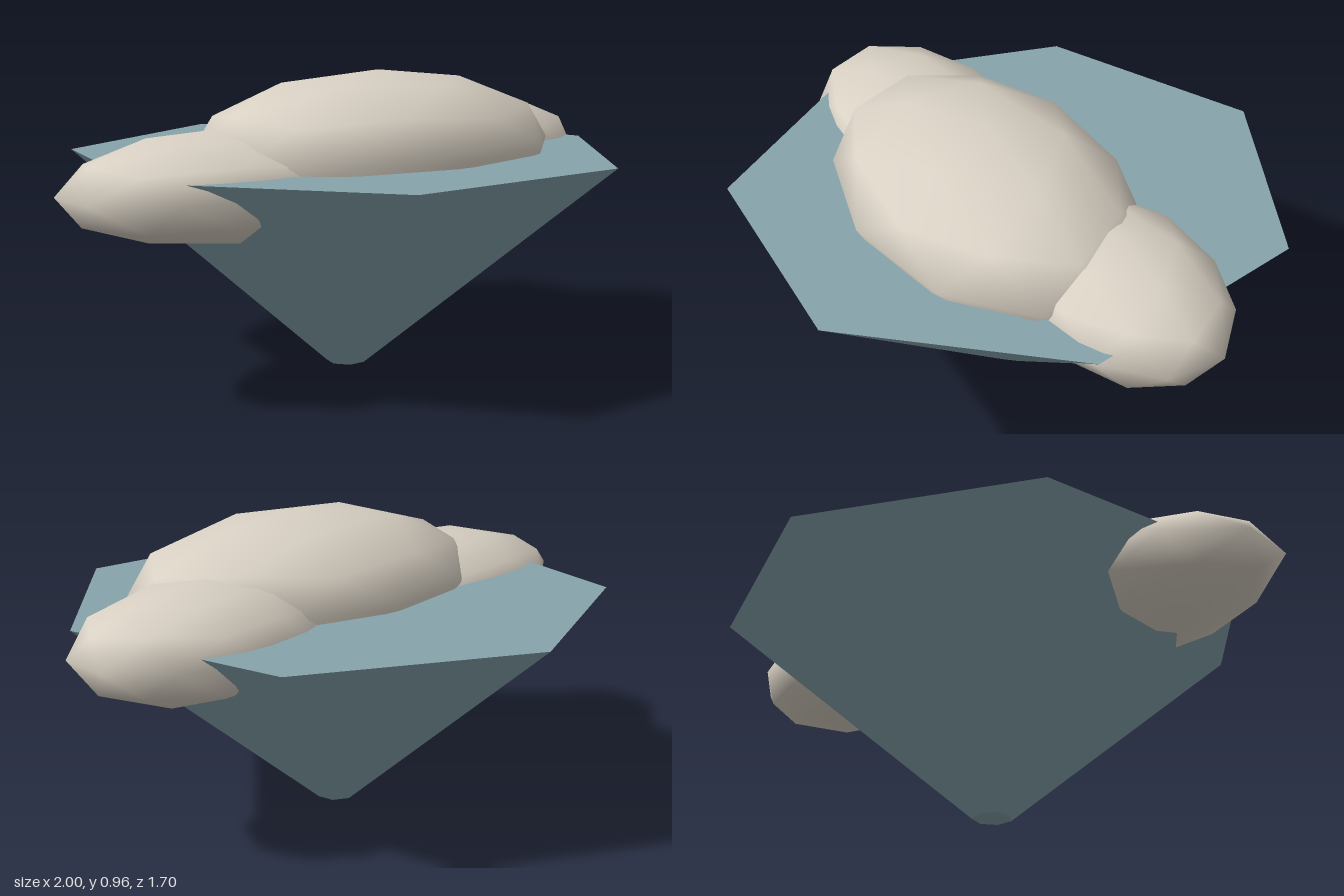
import * as THREE from 'three';

export function createModel() {
  const model = new THREE.Group();
  const slate = new THREE.MeshStandardMaterial({ color: 0x86a3ab });
  slate.name = 'slateBlue';
  const cream = new THREE.MeshStandardMaterial({ color: 0xd8d0c3 });
  cream.name = 'cream';

  // Seven-sided tapering base with flat faces
  const baseGeometry = new THREE.CylinderGeometry(0.892, 0.065, 0.7, 7, 1, false, Math.PI).toNonIndexed();
  baseGeometry.computeVertexNormals();
  const base = new THREE.Mesh(baseGeometry, slate);
  base.name = 'taperedBase';
  base.position.set(0.02, 0.35, 0.042);
  model.add(base);

  // Low-poly smooth ball, turned so that one corner points straight up
  const ball = new THREE.IcosahedronGeometry(1, 1);
  ball.rotateZ(-Math.atan(2 / (1 + Math.sqrt(5))));

  const addPuff = (name, position, radii) => {
    const puff = new THREE.Mesh(ball, cream);
    puff.name = name;
    puff.position.set(...position);
    puff.scale.set(...radii);
    model.add(puff);
  };

  // Stretched puffs resting in the base
  addPuff('middlePuff', [0.055, 0.721, 0.157], [0.655, 0.244, 0.428]);
  addPuff('rightPuff', [-0.46, 0.646, 0.115], [0.568, 0.17, 0.325]);
  addPuff('leftPuff', [0.59, 0.667, 0], [0.431, 0.177, 0.295]);

  return model;
}
